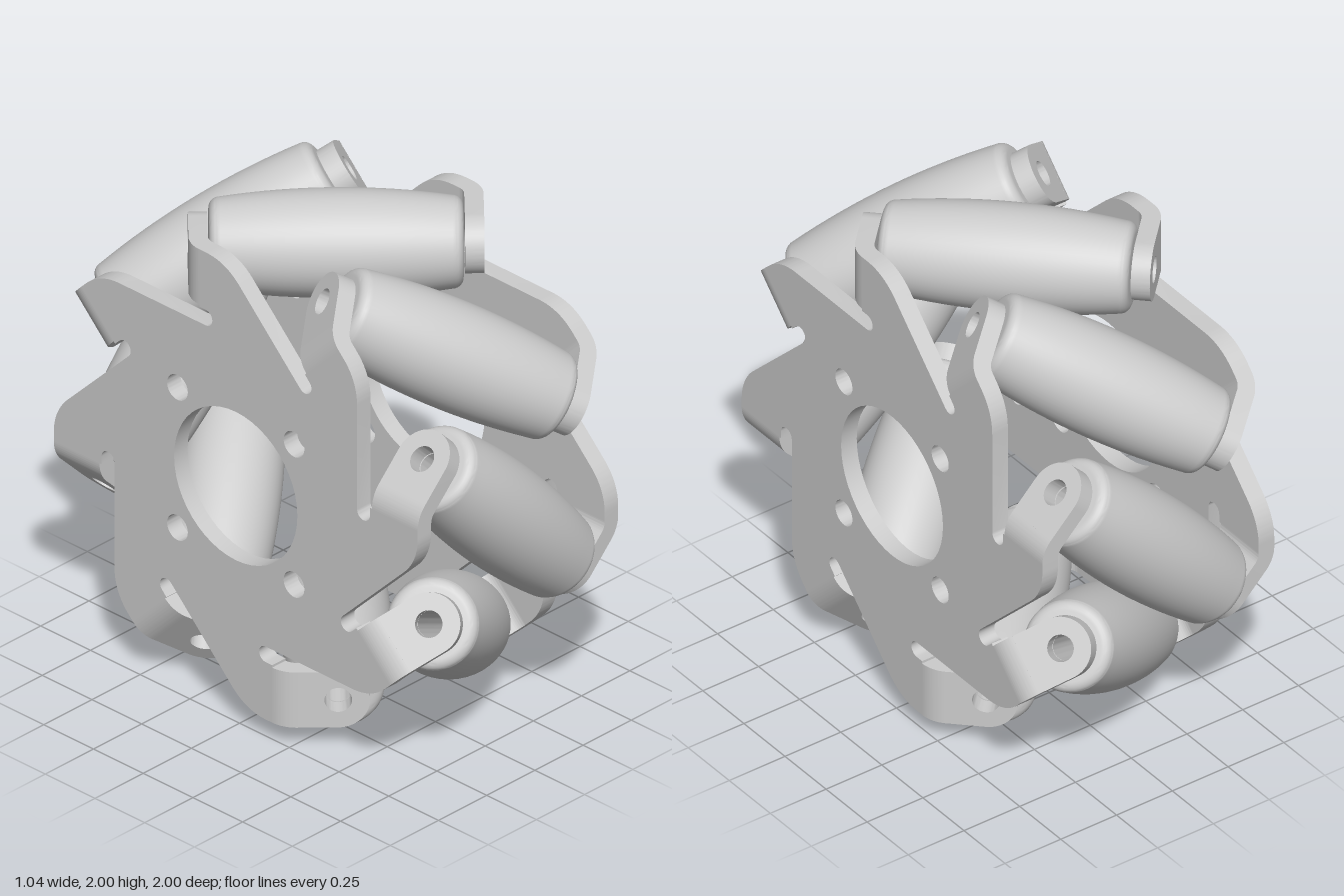
import * as THREE from 'three';
import { toCreasedNormals } from 'three/addons/utils/BufferGeometryUtils.js';

const COUNT = 8, STEP = Math.PI / 4;
const X_IN = 0.45, X_OUT = 0.52, THICK = 0.07;   // side plate
const ROLLER_R = 0.8;                            // roller axis distance from hub
const TAB_HALF = 0.115, EDGE = ROLLER_R + TAB_HALF;
const BEND_T = 0.183;                            // where the plate starts to bend

const material = new THREE.MeshStandardMaterial({ color: 0xcccccc });
const crease = (g) => toCreasedNormals(g, 0.5);

function circleHole(x, y, r) {
  return new THREE.Path().absarc(x, y, r, 0, Math.PI * 2, true);
}

// Barrel roller with rounded ends and a through bore, laid at 45 degrees
function rollerGeometry() {
  const L = 0.46, f = 0.04, pts = [new THREE.Vector2(0.05, -L)];
  const fillet = (sign, a) => pts.push(new THREE.Vector2(0.13 + f * Math.cos(a), sign * (L - f + f * Math.sin(a))));
  for (let i = 0; i <= 6; i++) fillet(-1, (Math.PI / 2) * (1 - i / 6));
  for (let i = 1; i < 16; i++) {
    const s = (L - f) * (i / 8 - 1);
    pts.push(new THREE.Vector2(0.2 - 0.17 * s * s, s));
  }
  for (let i = 0; i <= 6; i++) fillet(1, (Math.PI / 2) * (i / 6));
  pts.push(new THREE.Vector2(0.05, L), new THREE.Vector2(0.05, -L));
  const g = crease(new THREE.LatheGeometry(pts, 48));
  return g.rotateZ(-Math.PI / 2).rotateY(-Math.PI / 4).translate(0, ROLLER_R, 0);
}

// Flat plate with eight swept arms, relief slots, hub bore and bolt holes
function plateGeometry() {
  const shape = new THREE.Shape();
  for (let i = 0; i < COUNT; i++) {
    const at = (k, t, r) => {
      const a = k * STEP;
      return [-(r * Math.sin(a) + t * Math.cos(a)), r * Math.cos(a) - t * Math.sin(a)];
    };
    if (i === 0) shape.moveTo(...at(0, 0.15, EDGE));
    shape.lineTo(...at(i, BEND_T, EDGE));
    shape.lineTo(...at(i, BEND_T, 0.675));
    for (let j = 0; j <= 10; j++) {
      const a = Math.PI * (0.5 + j / 10);
      shape.lineTo(...at(i, 0.15 + 0.0325 * Math.cos(a), 0.6425 + 0.0325 * Math.sin(a)));
    }
    shape.lineTo(...at(i, 0.584, 0.61));
    shape.quadraticCurveTo(...at(i, 0.684, 0.61), ...at(i + 1, 0.15, EDGE));
  }
  shape.holes.push(circleHole(0, 0, 0.31));
  for (const x of [-0.293, 0.293])
    for (const y of [-0.293, 0.293]) shape.holes.push(circleHole(x, y, 0.052));
  const g = new THREE.ExtrudeGeometry(shape, { depth: THICK, bevelEnabled: false, curveSegments: 24 });
  return crease(g.rotateY(Math.PI / 2).translate(X_IN, 0, 0));
}

// Curved 45 degree bend between plate and tab
function bendGeometry() {
  const cx = X_IN - 0.06;
  const shape = new THREE.Shape();
  shape.absarc(cx, -BEND_T, 0.13, 0, -Math.PI / 4, true);
  shape.absarc(cx, -BEND_T, 0.06, -Math.PI / 4, 0, false);
  const g = new THREE.ExtrudeGeometry(shape, { depth: TAB_HALF * 2, bevelEnabled: false, curveSegments: 10 });
  return crease(g.rotateX(-Math.PI / 2).translate(0, ROLLER_R - TAB_HALF, 0));
}

// Round-ended tab with an axle hole, square to the roller axis
function tabGeometry() {
  const shape = new THREE.Shape();
  shape.moveTo(0.147, -TAB_HALF);
  shape.lineTo(0.147, TAB_HALF);
  shape.lineTo(0, TAB_HALF);
  shape.absarc(0, 0, TAB_HALF, Math.PI / 2, Math.PI * 1.5, false);
  shape.holes.push(circleHole(0, 0, 0.05));
  const g = new THREE.ExtrudeGeometry(shape, { depth: THICK, bevelEnabled: false, curveSegments: 24 });
  return crease(g.translate(0, ROLLER_R, 0.465).rotateY(Math.PI / 4));
}

export function createModel() {
  const model = new THREE.Group();
  model.name = 'rollerWheel';
  const add = (parent, name, geometry, angle = 0) => {
    const mesh = new THREE.Mesh(geometry, material);
    mesh.name = name;
    mesh.rotation.x = angle;
    parent.add(mesh);
  };
  const roller = rollerGeometry(), plate = plateGeometry();
  const bend = bendGeometry(), tab = tabGeometry();

  for (let i = 0; i < COUNT; i++) add(model, 'roller', roller, i * STEP);

  // The two side plates are the same part turned half round
  for (const side of ['left', 'right']) {
    const bracket = new THREE.Group();
    bracket.name = side + 'Bracket';
    add(bracket, 'sidePlate', plate);
    for (let i = 0; i < COUNT; i++) {
      add(bracket, 'tabBend', bend, i * STEP);
      add(bracket, 'axleTab', tab, i * STEP);
    }
    if (side === 'right') bracket.rotation.y = Math.PI;
    model.add(bracket);
  }
  model.children.forEach((part) => { part.position.y = 1; });
  return model;
}
